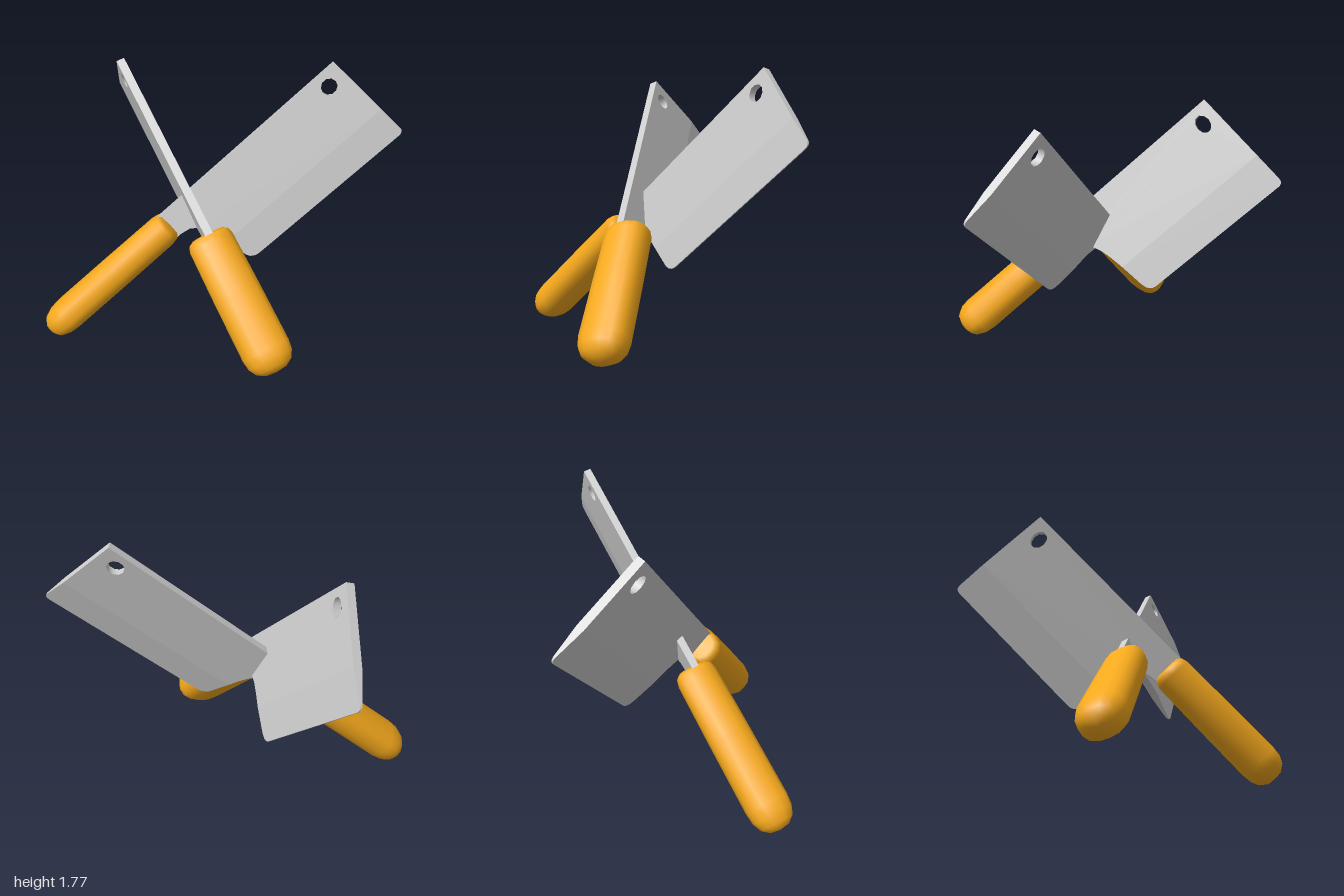
import * as THREE from 'three';
import { mergeVertices, toCreasedNormals } from 'three/addons/utils/BufferGeometryUtils.js';

const THICK = 0.045; // blade thickness
const BEVEL = -0.41; // height where the ground bevel starts
const EDGE = -0.61;  // cutting edge

const steel = new THREE.MeshStandardMaterial({ color: 0xcccccc, side: THREE.DoubleSide });
const grip = new THREE.MeshStandardMaterial({ color: 0xf5a81c });

function extrude(shape) {
  const geo = new THREE.ExtrudeGeometry(shape, { depth: THICK, bevelEnabled: false, curveSegments: 5 });
  return geo.translate(0, 0, -THICK / 2);
}

// Flat upper blade with neck, concave heel and hanging hole
function bladeBodyGeometry() {
  const s = new THREE.Shape();
  s.moveTo(0, 0);
  s.lineTo(-1.52, 0);
  s.lineTo(-1.52, -0.18);
  s.lineTo(-1.42, -0.18);
  s.bezierCurveTo(-1.29, -0.18, -1.27, -0.28, -1.235, BEVEL);
  s.lineTo(0.03, BEVEL);
  s.closePath();
  const hole = new THREE.Path();
  hole.absarc(-0.116, -0.097, 0.052, 0, Math.PI * 2, true);
  s.holes.push(hole);
  return toCreasedNormals(extrude(s), 0.7);
}

// Lower blade, thinned linearly towards the cutting edge
function bladeBevelGeometry() {
  const s = new THREE.Shape();
  s.moveTo(-1.235, BEVEL);
  s.lineTo(-1.21, -0.54);
  s.quadraticCurveTo(-1.2, EDGE, -1.13, EDGE);
  s.lineTo(0.0, EDGE);
  s.quadraticCurveTo(0.045, EDGE, 0.042, -0.575);
  s.lineTo(0.03, BEVEL);
  s.closePath();
  const geo = extrude(s);
  const p = geo.attributes.position;
  for (let i = 0; i < p.count; i++) {
    const k = (p.getY(i) - BEVEL) / (EDGE - BEVEL);
    p.setZ(i, p.getZ(i) * (1 - 0.85 * k));
  }
  return toCreasedNormals(geo, 0.7);
}

// Grip: turned profile squashed to a rounded-box section
function handleGeometry() {
  const profile = [
    [0, -2.52], [0.05, -2.51], [0.085, -2.475], [0.104, -2.42], [0.11, -2.35], [0.108, -1.9],
    [0.104, -1.5], [0.095, -1.455], [0.075, -1.435], [0, -1.43],
  ].map(([r, y]) => new THREE.Vector2(r, y));
  let geo = new THREE.LatheGeometry(profile, 16);
  const p = geo.attributes.position;
  for (let i = 0; i < p.count; i++) {
    const x = p.getX(i), z = p.getZ(i), r = Math.hypot(x, z);
    if (r < 1e-6) continue;
    const k = Math.pow(Math.abs(x / r) ** 2.6 + Math.abs(z / r) ** 2.6, -1 / 2.6);
    p.setX(i, x * k);
    p.setZ(i, z * k * 1.22);
  }
  geo.deleteAttribute('uv');
  geo.deleteAttribute('normal');
  geo = mergeVertices(geo);
  geo.rotateZ(-Math.PI / 2).translate(0, -0.09, 0);
  geo.computeVertexNormals();
  return geo;
}

const parts = [
  ['bladeBody', bladeBodyGeometry(), steel],
  ['bladeBevel', bladeBevelGeometry(), steel],
  ['handle', handleGeometry(), grip],
];

// A cleaver placed by its spine tip, blade direction and spine direction
function cleaver(name, tip, along, up, scale) {
  const g = new THREE.Group();
  g.name = name;
  const u = new THREE.Vector3(...along).normalize();
  const n = new THREE.Vector3().crossVectors(u, new THREE.Vector3(...up)).normalize();
  const v = new THREE.Vector3().crossVectors(n, u);
  g.quaternion.setFromRotationMatrix(new THREE.Matrix4().makeBasis(u, v, n));
  g.position.set(...tip);
  g.scale.set(...scale);
  for (const [part, geo, mat] of parts) {
    const m = new THREE.Mesh(geo, mat);
    m.name = part;
    g.add(m);
  }
  return g;
}

export function createModel() {
  const model = new THREE.Group();
  model.name = 'crossedCleavers';
  model.add(
    cleaver('longCleaver', [0.54, 1.76, -0.53], [0.608, 0.66, -0.443], [-0.705, 0.705, 0.08], [1, 1, 1]),
    cleaver('broadCleaver', [-0.75, 1.68, -0.2], [-0.653, 0.679, -0.336], [0.359, 0.66, 0.66], [0.86, 1.14, 1.16]),
  );
  return model;
}
